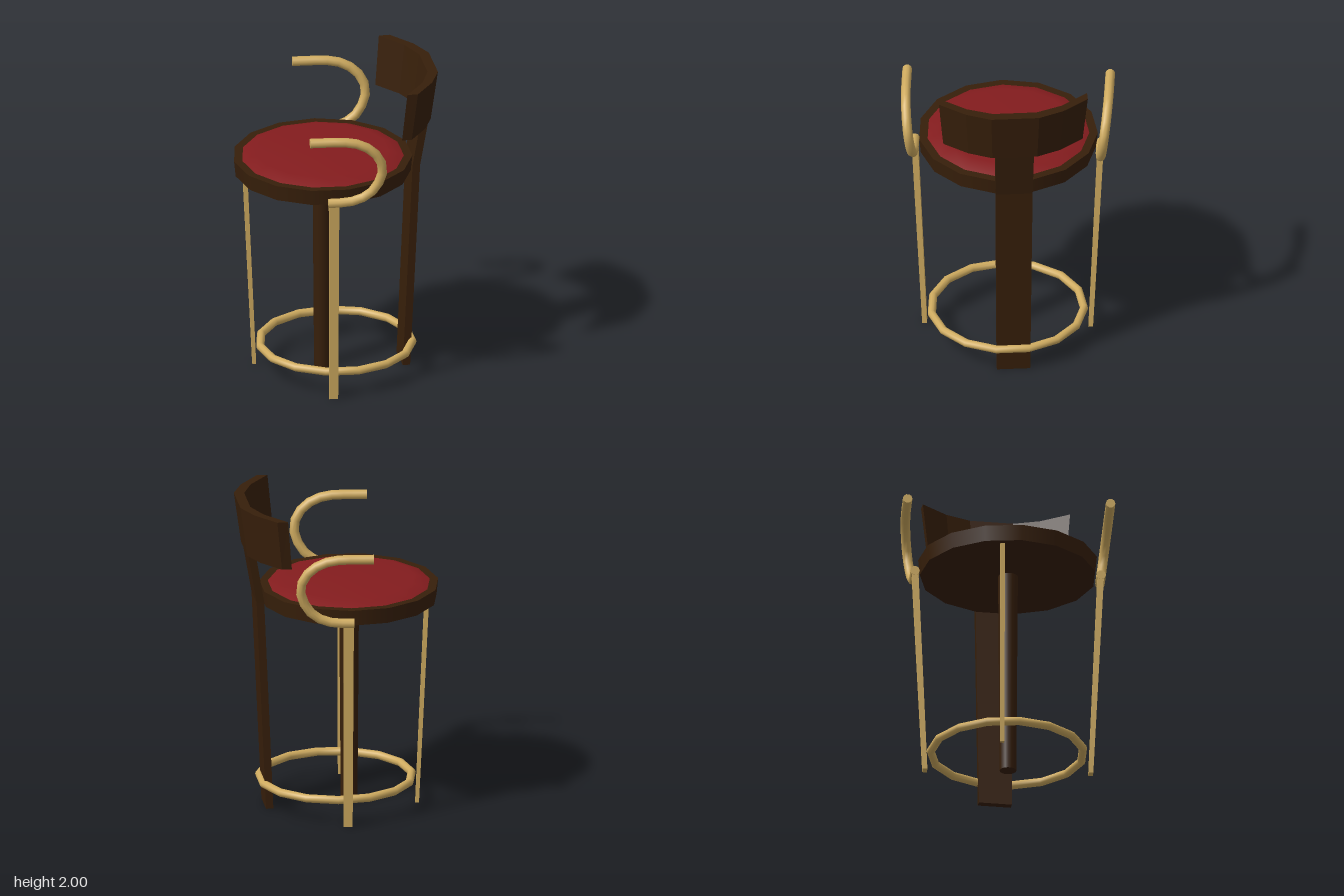
import * as THREE from 'three';

const SIDES = 15;
const CX = -0.077; // axis of the seat
const TILT = THREE.MathUtils.degToRad(6); // back is turned onto a side of the seat

// Straight bar of rectangular section between two points, tapering from s0 to s1 ([x, z] sizes)
function bar(p0, p1, s0, s1) {
  const g = new THREE.BoxGeometry(1, 1, 1);
  const p = g.attributes.position;
  for (let i = 0; i < p.count; i++) {
    const t = p.getY(i) + 0.5;
    const mix = (a, b) => a + (b - a) * t;
    p.setXYZ(i,
      mix(p0[0], p1[0]) + p.getX(i) * mix(s0[0], s1[0]),
      mix(p0[1], p1[1]),
      mix(p0[2], p1[2]) + p.getZ(i) * mix(s0[1], s1[1]));
  }
  g.computeVertexNormals();
  return g;
}

// Solid lofted through four-cornered sections, with both ends closed
function loft(sections) {
  const pos = [];
  const quad = (a, b, c, d) => pos.push(...a, ...b, ...c, ...a, ...c, ...d);
  for (let i = 0; i < sections.length - 1; i++) {
    const s = sections[i], n = sections[i + 1];
    for (let k = 0; k < 4; k++) {
      const j = (k + 1) % 4;
      quad(s[k], s[j], n[j], n[k]);
    }
  }
  quad(...[...sections[0]].reverse());
  quad(...sections[sections.length - 1]);
  const g = new THREE.BufferGeometry();
  g.setAttribute('position', new THREE.Float32BufferAttribute(pos, 3));
  g.computeVertexNormals();
  return g;
}

export function createModel() {
  const model = new THREE.Group();
  const wood = new THREE.MeshStandardMaterial({ name: 'dark wood', color: 0x371f0a });
  const brass = new THREE.MeshStandardMaterial({ name: 'brass', color: 0xd0ac60 });
  const red = new THREE.MeshStandardMaterial({ name: 'red upholstery', color: 0x841c1e });

  const add = (name, geometry, material, parent = model) => {
    const mesh = new THREE.Mesh(geometry, material);
    mesh.name = name;
    parent.add(mesh);
    return mesh;
  };

  // Seat frame and padded cushion
  const frame = new THREE.CylinderGeometry(0.56, 0.55, 0.1, SIDES, 1, false, Math.PI);
  add('seatFrame', frame, wood).position.set(CX, 1.38, 0);

  const profile = [[0.51, 1.429], [0.41, 1.464], [0, 1.466]]
    .map(([x, y]) => new THREE.Vector2(x, y));
  add('cushion', new THREE.LatheGeometry(profile, SIDES, Math.PI), red).position.x = CX;

  // Centre post
  add('centrePost', new THREE.CylinderGeometry(0.062, 0.052, 1.34, 16), wood).position.set(CX, 0.67, 0);

  // Foot ring
  const ring = new THREE.TorusGeometry(0.477, 0.026, 10, SIDES);
  ring.rotateZ(Math.PI / 2).rotateX(-Math.PI / 2);
  add('footRing', ring, brass).position.set(0.006, 0.16, 0);

  // Front leg
  add('frontLeg', bar([-0.498, 0, -0.06], [-0.558, 1.335, -0.06], [0.024, 0.026], [0.03, 0.03]), brass);

  // Side legs and hooked armrests
  const hook = [[-0.21, 1.791], [-0.1, 1.791], [0, 1.79], [0.11, 1.765], [0.2, 1.7], [0.246, 1.6],
    [0.225, 1.5], [0.165, 1.415], [0.08, 1.37], [-0.01, 1.357], [-0.09, 1.355]];
  for (const [side, s] of [['left', 1], ['right', -1]]) {
    add(side + 'SideLeg',
      bar([-0.053, 0, s * 0.517], [-0.055, 1.345, s * 0.578], [0.056, 0.03], [0.063, 0.04]), brass);

    const points = hook.map(([x, y]) => new THREE.Vector3(x, y, s * (0.58 + (y - 1.355) * 0.12)));
    const arm = new THREE.Group();
    arm.name = side + 'Armrest';
    model.add(arm);
    add('armTube', new THREE.TubeGeometry(new THREE.CatmullRomCurve3(points), 14, 0.03, 10), brass, arm);
    for (const end of [points[0], points[points.length - 1]]) {
      const cap = new THREE.CircleGeometry(0.03, 10).rotateY(-Math.PI / 2);
      add('armCap', cap, brass, arm).position.copy(end);
    }
  }

  // Back: one broad leg that bends outward above the seat, carrying a curved backrest
  const back = new THREE.Group();
  back.name = 'back';
  back.position.x = CX;
  back.rotation.y = TILT;
  model.add(back);

  const legSection = (y, inner, outer, w) =>
    [[inner, y, w], [outer, y, w], [outer, y, -w], [inner, y, -w]];
  add('backLeg', loft([
    legSection(0, 0.49, 0.536, 0.104),
    legSection(1.36, 0.549, 0.597, 0.115),
    legSection(1.69, 0.605, 0.654, 0.12),
  ]), wood, back);

  const polar = (r, deg, y) => {
    const a = THREE.MathUtils.degToRad(deg);
    return [r * Math.cos(a), y, r * Math.sin(a)];
  };
  // Each station: inner angle, outer angle, inner radius, outer radius at the top
  const half = [[12, 12, 0.654, 0.719], [27, 25.5, 0.648, 0.706], [46, 42, 0.645, 0.694]];
  const stations = [
    ...half.map(([a, b, r, R]) => [-a, -b, r, R]).reverse(),
    ...half,
  ];
  add('backrest', loft(stations.map(([a, b, r, R]) => [
    polar(r - 0.04, a, 1.68), polar(R - 0.045, b, 1.68), polar(R, b, 2), polar(r, a, 2),
  ])), wood, back);

  return model;
}
